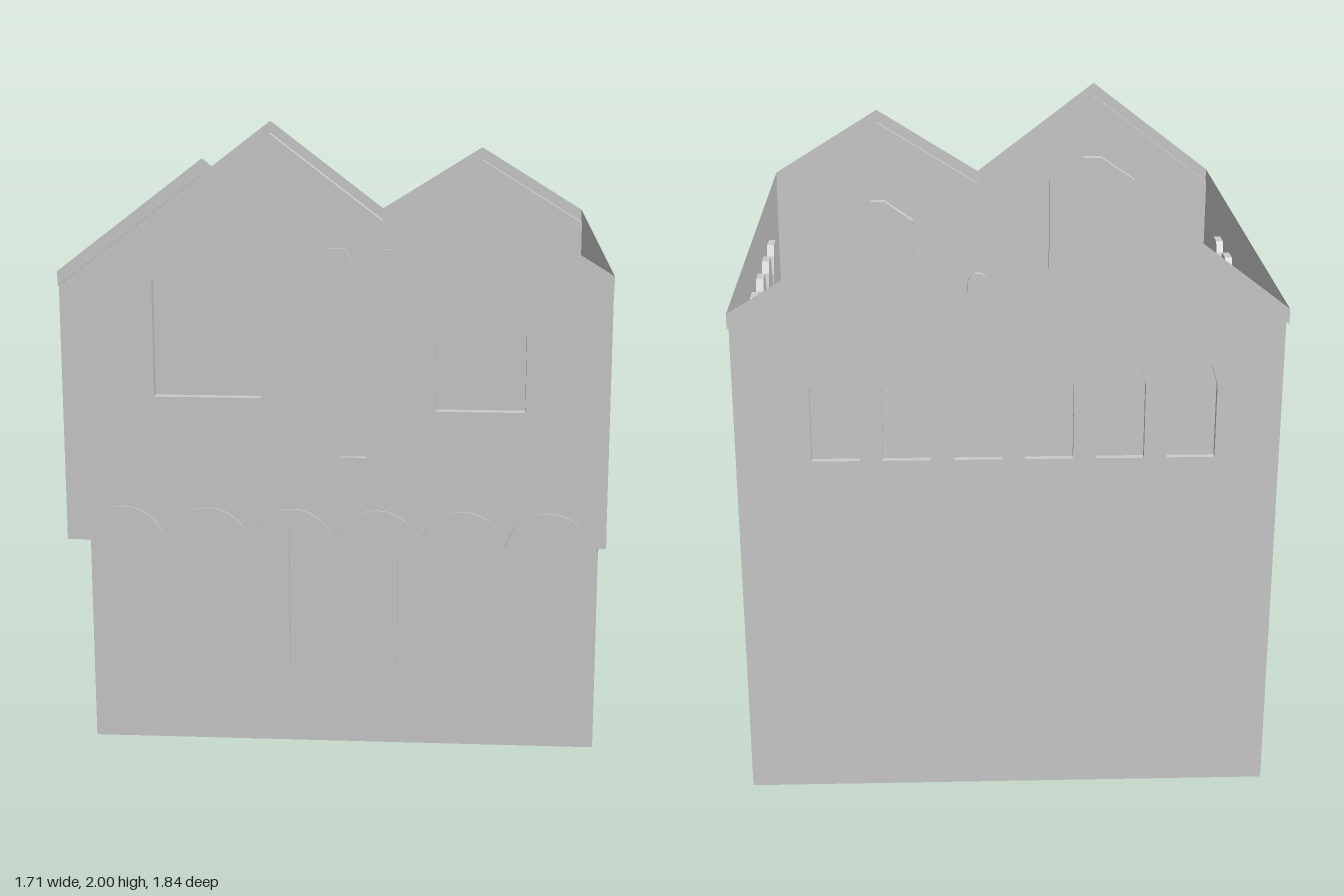
import * as THREE from 'three';

const mat = new THREE.MeshStandardMaterial({ color: 0xcccccc, flatShading: true, side: THREE.DoubleSide });
const HALF = 0.847, FRONT = 0.903, BACK = 0.873, EDGE = 0.92, LOWER = 0.567, SILL = 0.8;
const EAVE = 1.61, TRIM = 0.047;
const ridge = [[-HALF, EAVE], [-0.395, 1.955], [0.057, EAVE], [0.45, 1.855], [HALF, EAVE]];

const vec = pts => pts.map(p => new THREE.Vector2(p[0], p[1]));
const flip = pts => pts.map(([x, y]) => [-x, y]).reverse();
const raise = (pts, d) => pts.map(([x, y]) => [x, y + d]);

function add(parent, name, geometry) {
  const mesh = new THREE.Mesh(geometry, mat);
  mesh.name = name;
  parent.add(mesh);
  return mesh;
}

// Flat outline with optional holes
function panel(pts, holes = []) {
  const shape = new THREE.Shape(vec(pts));
  holes.forEach(h => shape.holes.push(new THREE.Path(vec(h))));
  return new THREE.ShapeGeometry(shape);
}

function slab(pts, z0, z1) {
  return new THREE.ExtrudeGeometry(new THREE.Shape(vec(pts)),
    { depth: z1 - z0, bevelEnabled: false }).translate(0, 0, z0);
}

// Ribbon sweeping a line of points from z0 to z1
function ribbon(pts, z0, z1) {
  const pos = [];
  for (let i = 0; i + 1 < pts.length; i++) {
    const [a, b] = [pts[i], pts[i + 1]];
    pos.push(...a, z0, ...b, z0, ...b, z1, ...a, z0, ...b, z1, ...a, z1);
  }
  const g = new THREE.BufferGeometry();
  g.setAttribute('position', new THREE.Float32BufferAttribute(pos, 3));
  g.computeVertexNormals();
  return g;
}

// Arc of half width w and height h, from left to right
function arc(cx, y, w, h, n = 10) {
  const r = (w * w + h * h) / (2 * h), a = Math.asin(w / r);
  return Array.from({ length: n + 1 }, (_, i) => {
    const t = -a + 2 * a * i / n;
    return [cx + r * Math.sin(t), y + h - r + r * Math.cos(t)];
  });
}

// Window outline: straight sides with a faceted arched head
function windowOutline(cx, y0, w, spring, top, mid, flat) {
  const ym = spring + (top - spring) * 0.62;
  return [[-w, y0], [w, y0], [w, spring], [w * mid, ym], [w * flat, top],
    [-w * flat, top], [-w * mid, ym], [-w, spring]].map(([x, y]) => [x + cx, y]);
}
const smallWindow = (cx, y0) => windowOutline(cx, y0, 0.075, y0 + 0.24, y0 + 0.34, 0.76, 0.46);

// Wall in the local xy plane, with blind windows set into it
function wall(name, outline, windows, depth) {
  const group = new THREE.Group();
  group.name = name;
  add(group, name + 'Surface', panel(outline, windows));
  windows.forEach((w, i) => {
    const d = Array.isArray(depth) ? depth[i] : depth;
    add(group, 'windowReveal', ribbon([...w, w[0]], -d, 0));
    add(group, 'windowPanel', panel(w)).position.z = -d;
  });
  return group;
}

// Open verge trim: a soffit ribbon and an upright fascia
function verge(group, pts, out) {
  add(group, 'gableSoffit', ribbon(pts, 0, out));
  add(group, 'gableFascia', panel([...pts, ...raise(pts, TRIM).reverse()])).position.z = out;
}

// Moulding round one arch
function archTrim(parent, cx, z0, z1) {
  const inner = arc(cx, SILL, 0.09, 0.055);
  const outer = arc(cx, SILL, 0.1335, 0.112, 12).map(([x, y]) => [x, y]);
  add(parent, 'archMoulding', slab([...outer, ...inner.reverse()], z0, z1));
}

export function createModel() {
  const model = new THREE.Group();
  model.name = 'house';
  const six = [0, 1, 2, 3, 4, 5];

  // Overhanging front wall with a scalloped lower edge
  const archX = six.map(i => -0.667 + i * 0.2668);
  const scallops = archX.flatMap(x => arc(x, SILL, 0.09, 0.055));
  const front = wall('frontWall',
    [[-HALF, SILL], ...scallops, [HALF, SILL], ...[...ridge].reverse()],
    [windowOutline(-0.393, 1.265, 0.167, 1.627, 1.717, 0.5, 0.2),
      windowOutline(0.452, 1.23, 0.137, 1.468, 1.547, 0.5, 0.2),
      windowOutline(0.058, 1.08, 0.043, 1.21, 1.245, 0.7, 0.3)], [0.033, 0.033, 0.015]);
  verge(front, ridge, EDGE - FRONT);
  archX.forEach(x => archTrim(front, x, -0.036, 0.006));
  front.position.z = FRONT;
  model.add(front);

  // Back wall
  const backRidge = flip(ridge);
  const back = wall('backWall', [[-HALF, 0], [HALF, 0], ...[...backRidge].reverse()],
    six.map(i => smallWindow(0.57 - i * 0.2215, 1.16)), 0.022);
  verge(back, backRidge, EDGE - BACK);
  back.rotation.y = Math.PI;
  back.position.z = -BACK;
  model.add(back);

  // Side walls, each with two rows of windows and one arch under the overhang
  const sideWindows = [0.55, 1.16].flatMap(y => six.map(i => smallWindow(-0.455 + i * 0.2215, y)));
  for (const s of [1, -1]) {
    const pivot = new THREE.Group();
    pivot.name = s > 0 ? 'leftSide' : 'rightSide';
    pivot.scale.x = s;
    const side = wall('sideWall', [[-LOWER, 0], [BACK, 0], [BACK, EAVE], [-FRONT, EAVE],
      [-FRONT, SILL], ...arc(-0.73, SILL, 0.095, 0.055), [-LOWER, SILL]], sideWindows, 0.025);
    add(side, 'eavesBand', panel([[-EDGE, EAVE], [EDGE, EAVE], [EDGE, EAVE + TRIM], [-EDGE, EAVE + TRIM]]));
    archTrim(side, -0.73, -0.042, 0.006);
    side.rotation.y = Math.PI / 2;
    side.position.x = HALF;
    pivot.add(side);
    model.add(pivot);
  }

  // Set-back lower front wall, notched at one upper corner
  const lower = wall('lowerFrontWall', [[-HALF, 0], [HALF, 0], [HALF, 0.69], [0.82, 0.69],
    [0.82, 0.9], [-HALF, 0.9]], [], 0);
  lower.position.z = LOWER;
  model.add(lower);

  // Door with jambs and lintel
  const door = new THREE.Group();
  door.name = 'door';
  const block = (name, x0, x1, y0, y1, d) => add(door, name, new THREE.BoxGeometry(x1 - x0, y1 - y0, d)
    .translate((x0 + x1) / 2, (y0 + y1) / 2, LOWER + d / 2));
  block('doorJamb', -0.21, -0.175, 0.28, 0.85, 0.028);
  block('doorJamb', 0.15, 0.185, 0.28, 0.85, 0.028);
  block('doorLintel', -0.21, 0.185, 0.85, 0.885, 0.028);
  block('doorPanel', -0.175, 0.15, 0.28, 0.85, 0.008);
  model.add(door);

  return model;
}
